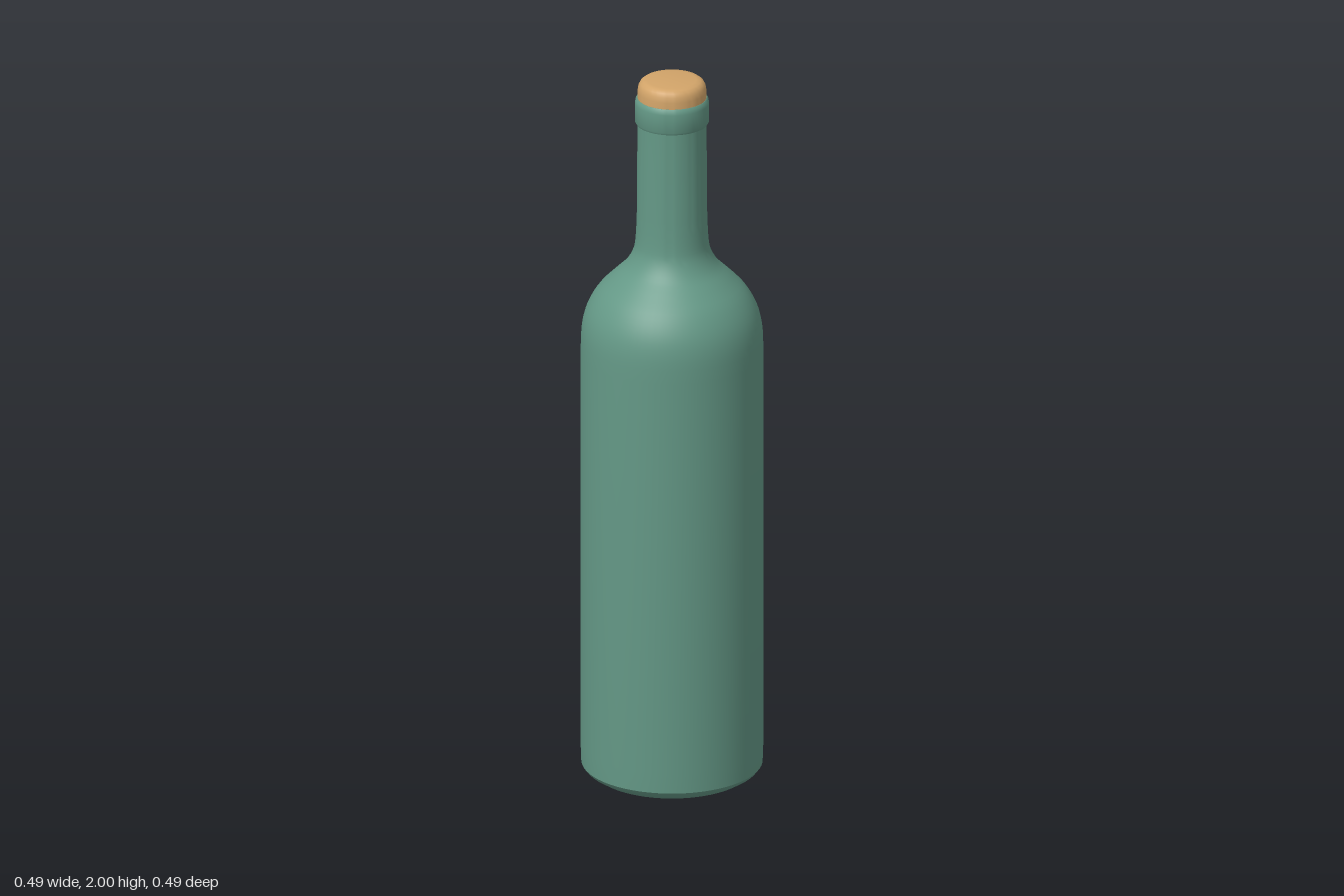
import * as THREE from 'three';
import { toCreasedNormals } from 'three/addons/utils/BufferGeometryUtils.js';

const SEGMENTS = 64;
const glass = new THREE.MeshStandardMaterial({ color: 0x649886 });
const corkMaterial = new THREE.MeshStandardMaterial({ color: 0xd2a469 });

// Turned part from [radius, height] pairs, listed bottom to top
function turned(name, profile, material) {
  const points = profile.map(([r, y]) => new THREE.Vector2(r, y));
  const geometry = toCreasedNormals(new THREE.LatheGeometry(points, SEGMENTS), 0.6);
  const mesh = new THREE.Mesh(geometry, material);
  mesh.name = name;
  return mesh;
}

// Smooth run of profile points through a few control points
function smooth(points, count) {
  const curve = new THREE.SplineCurve(points.map(([r, y]) => new THREE.Vector2(r, y)));
  return curve.getPoints(count).map((p) => [p.x, p.y]);
}

export function createModel() {
  const group = new THREE.Group();
  group.name = 'bottle';

  // Base, straight body, rounded shoulder and neck
  const base = [[0, 0], [0.145, 0], [0.18, 0.007], [0.21, 0.018], [0.232, 0.032], [0.242, 0.045]];
  const shoulder = smooth([
    [0.244, 1.22], [0.241, 1.29], [0.228, 1.345], [0.2, 1.395], [0.16, 1.437],
    [0.125, 1.472], [0.104, 1.51], [0.097, 1.55], [0.094, 1.62],
  ], 28);
  group.add(turned('body', [...base, [0.244, 0.1], ...shoulder, [0.092, 1.89]], glass));

  // Raised lip ring around the mouth
  group.add(turned('lip', [
    [0.09, 1.878], [0.096, 1.878], [0.099, 1.884], [0.099, 1.935],
    [0.097, 1.945], [0.093, 1.95], [0.08, 1.95],
  ], glass));

  // Cork stopper with a rounded top edge
  group.add(turned('cork', [
    [0, 1.94], [0.092, 1.94], [0.092, 1.968], [0.09, 1.982],
    [0.085, 1.992], [0.077, 1.998], [0.065, 2], [0, 2],
  ], corkMaterial));

  return group;
}
